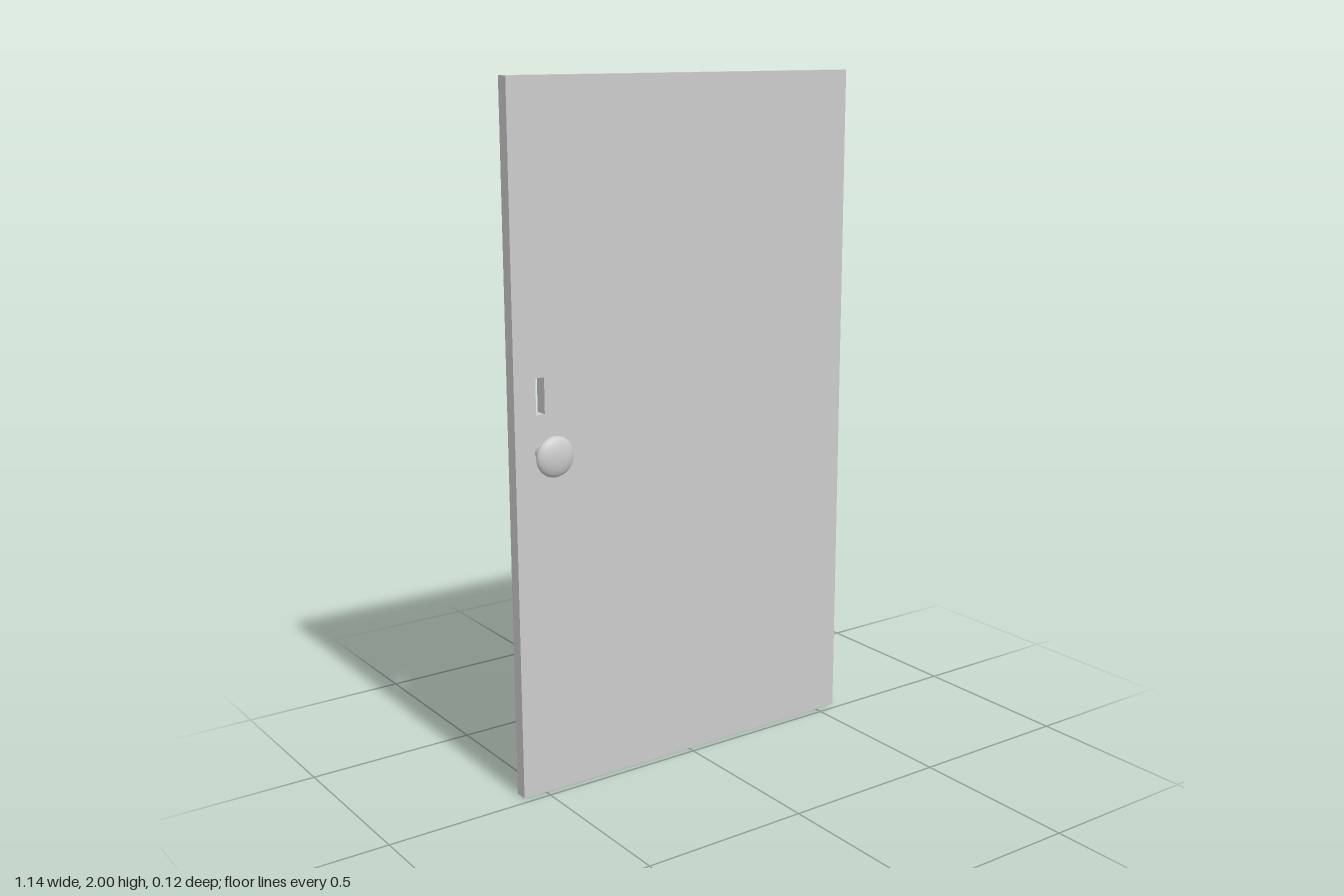
import * as THREE from 'three';

const W = 1.142, H = 2, BACK = -0.062, FRONT = -0.024;
const KNOB_X = -0.485, KNOB_Y = 1.0;

function rectangle(target, x0, y0, x1, y1) {
  target.moveTo(x0, y0);
  target.lineTo(x1, y0);
  target.lineTo(x1, y1);
  target.lineTo(x0, y1);
  target.closePath();
  return target;
}

export function createModel() {
  const group = new THREE.Group();
  group.name = 'door';
  const material = new THREE.MeshStandardMaterial({ color: 0xcccccc });

  const add = (name, geometry, x, y, z) => {
    const mesh = new THREE.Mesh(geometry, material);
    mesh.name = name;
    mesh.position.set(x, y, z);
    group.add(mesh);
  };

  // Flat door panel with a narrow slot cut right through it
  const outline = rectangle(new THREE.Shape(), -W / 2, 0, W / 2, H);
  outline.holes.push(rectangle(new THREE.Path(), -0.504, 1.104, -0.477, 1.206));
  const panel = new THREE.ExtrudeGeometry(outline, { depth: FRONT - BACK, bevelEnabled: false });
  add('panel', panel, 0, 0, BACK);

  // Round stem from the panel into the knob
  const stemEnd = 0.035;
  const stem = new THREE.CylinderGeometry(0.025, 0.025, stemEnd - FRONT, 32);
  stem.rotateX(Math.PI / 2);
  add('knobStem', stem, KNOB_X, KNOB_Y, (FRONT + stemEnd) / 2);

  // Flattened ellipsoid knob, its poles facing front and back
  const knob = new THREE.SphereGeometry(1, 48, 32);
  knob.rotateX(Math.PI / 2);
  knob.scale(0.057, 0.057, 0.023);
  add('knob', knob, KNOB_X, KNOB_Y, 0.039);

  return group;
}
